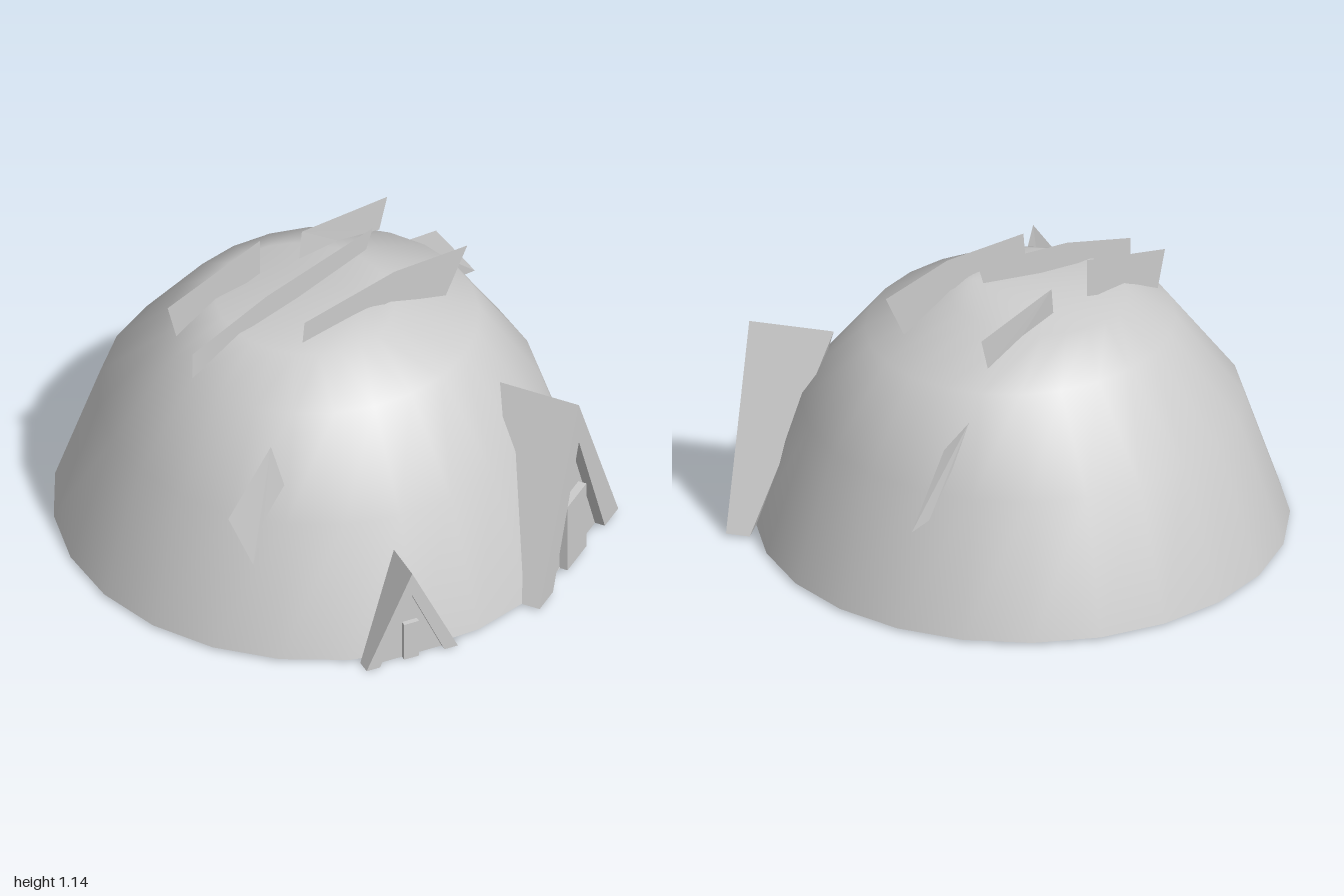
import * as THREE from 'three';
import { mergeVertices } from 'three/addons/utils/BufferGeometryUtils.js';

const grey = new THREE.MeshStandardMaterial({ color: 0xcccccc, side: THREE.DoubleSide });
const flat = new THREE.MeshStandardMaterial({ color: 0xcccccc, side: THREE.DoubleSide, flatShading: true });

function addMesh(parent, name, geometry, material = flat) {
  const mesh = new THREE.Mesh(geometry, material);
  mesh.name = name;
  parent.add(mesh);
  return mesh;
}

function buildGeometry(points, index) {
  const g = new THREE.BufferGeometry();
  g.setAttribute('position', new THREE.Float32BufferAttribute(points.flat(), 3));
  g.setIndex(index);
  return g;
}

// Open shell of 24-sided rings: [y, centre x, centre z, radius x, radius z]
function domeGeometry() {
  const sides = 24;
  const rings = [
    [0.02, -0.02, 0, 0.98, 0.98],
    [0.515, -0.02, 0, 0.81, 0.815],
    [0.835, -0.02, -0.01, 0.55, 0.59],
    [0.945, -0.045, 0.05, 0.345, 0.32],
    [0.988, 0.13, -0.1, 0, 0],
  ];
  const points = [], index = [];
  rings.forEach(([y, cx, cz, rx, rz], j) => {
    for (let i = 0; i < sides; i++) {
      const t = (i / sides) * Math.PI * 2;
      points.push([cx + rx * Math.cos(t), y, cz + rz * Math.sin(t)]);
      if (j === rings.length - 1) continue;
      const a = j * sides + i, b = j * sides + (i + 1) % sides;
      index.push(a, a + sides, b);
      if (j < rings.length - 2) index.push(b, a + sides, b + sides);
    }
  });
  const g = mergeVertices(buildGeometry(points, index), 1e-5);
  g.computeVertexNormals();
  return g;
}

// Thin upright plate from an outline of [x, y, z] corners
function plateGeometry(corners) {
  const outline = corners.map(([, y, z]) => new THREE.Vector2(z, y));
  const g = buildGeometry(corners, THREE.ShapeUtils.triangulateShape(outline, []).flat());
  g.computeVertexNormals();
  return g;
}

// A-frame porch facing local +z, with a recessed panel and a door
function makePorch(name, o) {
  const group = new THREE.Group();
  group.name = name;
  const { half: w, height: h, ridge, foot, innerHalf: iw, innerHeight: ih, recess } = o;

  // roof slopes and sloping back
  const roof = buildGeometry([
    [-w, 0, 0], [w, 0, 0], [0, h, 0],
    [-w, 0, -foot], [w, 0, -foot], [0, h, -ridge],
  ], [1, 4, 5, 1, 5, 2, 3, 0, 2, 3, 2, 5, 4, 3, 5]).toNonIndexed();
  roof.computeVertexNormals();
  addMesh(group, 'roof', roof);

  // front frame, open at the foot
  const frame = new THREE.Shape([
    [-w, 0], [-iw, 0], [0, ih], [iw, 0], [w, 0], [0, h],
  ].map(([x, y]) => new THREE.Vector2(x, y)));
  const frameGeometry = new THREE.ExtrudeGeometry(frame, { depth: recess, bevelEnabled: false });
  addMesh(group, 'frontFrame', frameGeometry).position.z = -recess;

  // recessed panel
  const panel = new THREE.Shape([
    new THREE.Vector2(-iw, 0), new THREE.Vector2(iw, 0), new THREE.Vector2(0, ih),
  ]);
  addMesh(group, 'frontPanel', new THREE.ShapeGeometry(panel)).position.z = -recess;

  // door
  const door = addMesh(group, 'door', new THREE.BoxGeometry(o.door[0], o.door[1], recess * 0.8));
  door.position.set(0, o.door[1] / 2, -recess * 0.6);

  group.position.set(...o.position);
  group.rotation.y = Math.atan2(o.facing[0], o.facing[1]);
  return group;
}

export function createModel() {
  const model = new THREE.Group();
  model.name = 'domeShelter';
  addMesh(model, 'dome', domeGeometry(), grey);

  // upright plates in planes of constant x: [x, [z, y] outline]
  const crest = [
    ['crestMiddle', -0.02, [[0.58, 0.945], [0.24, 1.06], [-0.24, 1.155], [-0.21, 1.07], [0.1, 0.99], [0.36, 0.94], [0.58, 0.835]]],
    ['crestLeft', 0.17, [[0.21, 1.04], [-0.2, 1.09], [-0.53, 1.06], [-0.43, 0.87], [-0.18, 0.96], [0.22, 0.945]]],
    ['crestRight', -0.24, [[0.53, 1.0], [0.11, 1.12], [0.11, 0.97], [0.32, 0.91], [0.49, 0.85]]],
  ];
  for (const [name, x, outline] of crest) {
    addMesh(model, name, plateGeometry(outline.map(([z, y]) => [x, y, z])));
  }

  // slightly skewed plates
  addMesh(model, 'crestRear', plateGeometry([
    [-0.23, 0.965, -0.06], [-0.24, 1.075, -0.08], [-0.27, 1.03, -0.49], [-0.265, 0.9, -0.45], [-0.25, 0.95, -0.25],
  ]));
  addMesh(model, 'rearPlate', plateGeometry([
    [-0.31, 0.75, -0.6], [-0.335, 0.71, -0.76], [-0.34, 0.44, -0.94], [-0.335, 0.45, -0.84], [-0.32, 0.6, -0.7],
  ]));
  addMesh(model, 'frontPlate', plateGeometry([
    [0.465, 0.82, 0.58], [0.48, 0.63, 0.53], [0.49, 0.52, 0.63], [0.505, 0.35, 0.69], [0.46, 0.57, 0.77],
  ]));

  // two porches on the left side
  model.add(makePorch('largePorch', {
    position: [0.838, 0.02, -0.545], facing: [0.88, -0.47],
    half: 0.334, height: 0.71, ridge: 0.32, foot: 0.09,
    innerHalf: 0.22, innerHeight: 0.54, recess: 0.04, door: [0.16, 0.29],
  }));
  model.add(makePorch('smallPorch', {
    position: [0.946, 0.01, 0.292], facing: [0.98, 0.2],
    half: 0.184, height: 0.39, ridge: 0.16, foot: 0.055,
    innerHalf: 0.13, innerHeight: 0.29, recess: 0.025, door: [0.06, 0.16],
  }));
  return model;
}
